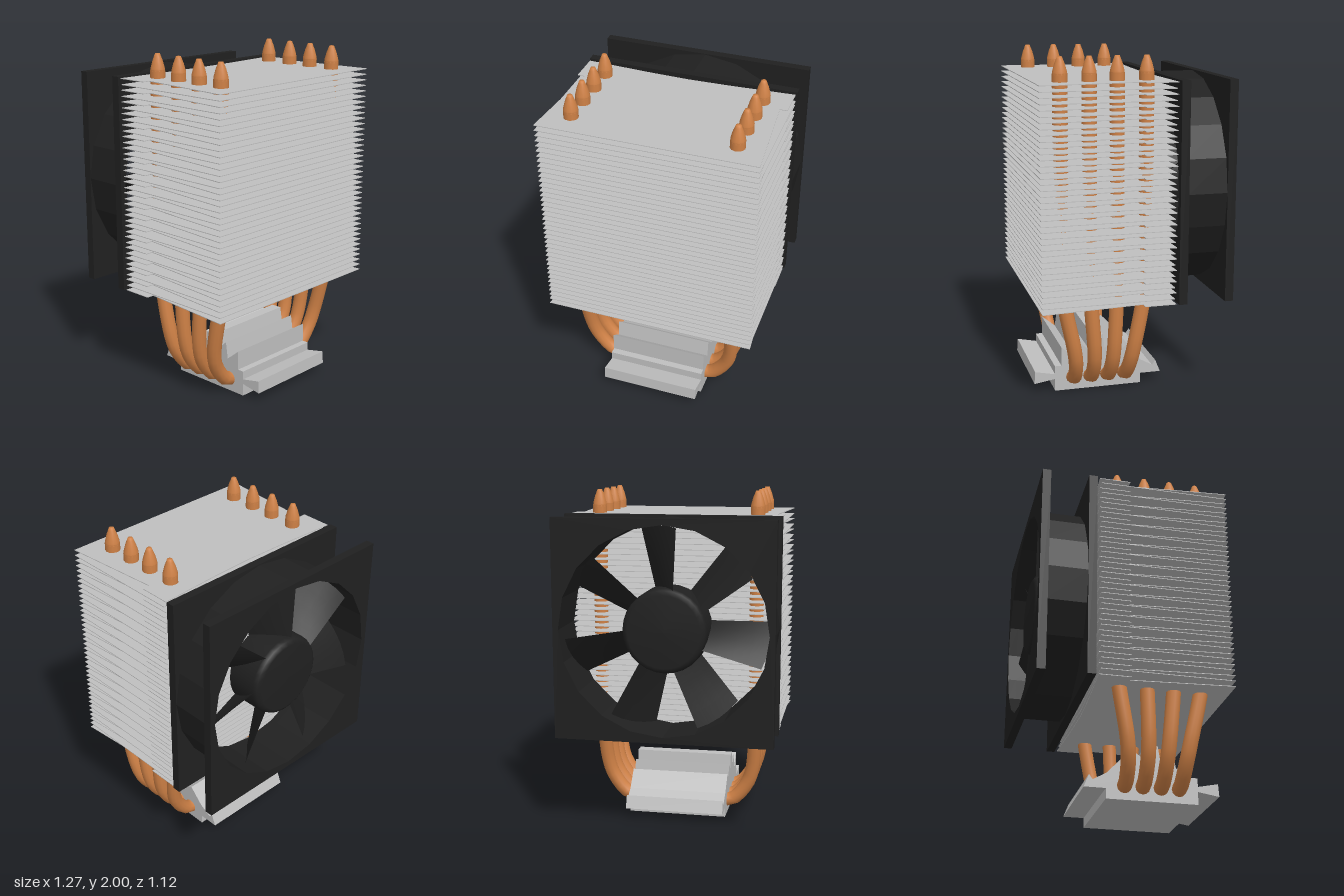
import * as THREE from 'three';

const aluminium = new THREE.MeshStandardMaterial({ color: 0xbfbfbf });
const copper = new THREE.MeshStandardMaterial({ color: 0xcf8146 });
const black = new THREE.MeshStandardMaterial({ color: 0x202020 });
const blackBlade = new THREE.MeshStandardMaterial({ color: 0x202020, side: THREE.DoubleSide });
aluminium.name = 'aluminium';
copper.name = 'copper';
black.name = 'black plastic';
blackBlade.name = 'black blade plastic';

function add(parent, name, geometry, material) {
  const mesh = new THREE.Mesh(geometry, material);
  mesh.name = name;
  parent.add(mesh);
  return mesh;
}

const outline = (pts) => new THREE.Shape(pts.map(([x, y]) => new THREE.Vector2(x, y)));
const extrude = (shape, depth, curveSegments = 12) =>
  new THREE.ExtrudeGeometry(shape, { depth, bevelEnabled: false, curveSegments });

// Thin plate outline in x and z, optionally with tapered, notched sides
function finGeometry(notched) {
  const side = notched
    ? [[0.63, -0.22], [0.63, -0.035], [0.585, -0.035], [0.635, 0.56]]
    : [[0.635, -0.21], [0.635, 0.56]];
  const back = [[0, -0.193], [0.25, -0.2]];
  const right = [...back, ...side];
  const left = right.slice(1).reverse().map(([x, z]) => [-x, z]);
  return extrude(outline([...right, ...left]), 0.004).rotateX(Math.PI / 2);
}

function buildFins() {
  const fins = new THREE.Group();
  fins.name = 'finStack';
  const plates = [finGeometry(true), finGeometry(false)];
  const count = 39;
  for (let i = 0; i < count; i++) {
    add(fins, 'fin', plates[i % 2], aluminium).position.y = 0.594 + (i * 1.268) / (count - 1);
  }
  return fins;
}

// Ridged contact block, with a profile in z and y
function buildBase() {
  const profile = [
    [0.425, 0], [0.425, 0.075], [0.55, 0.055], [0.545, 0.13], [0.425, 0.105], [0.425, 0.155],
    [0.385, 0.155], [0.385, 0.27], [0.3, 0.2], [0.285, 0.3], [0.21, 0.235], [0.195, 0.33],
    [0.13, 0.33], [0.12, 0.24], [0.05, 0.29], [0.04, 0.21], [-0.01, 0.245], [-0.1, 0.15],
    [-0.18, 0.105], [-0.2, 0.135], [-0.23, 0.06], [-0.105, 0.06], [-0.105, 0],
  ];
  const geometry = extrude(outline(profile), 0.6).translate(0, 0, -0.3).rotateY(-Math.PI / 2);
  const group = new THREE.Group();
  group.name = 'base';
  add(group, 'contactBlock', geometry, aluminium);
  return group;
}

// Bent pipes, spreading in z as they rise, with crimped tips
function buildPipes() {
  const pipes = new THREE.Group();
  pipes.name = 'heatPipes';
  const path = [
    [0.25, 0.082, 0], [0.33, 0.087, 0], [0.42, 0.19, 0.08], [0.457, 0.3, 0.25],
    [0.475, 0.67, 0.98], [0.475, 0.9, 1], [0.475, 1.4, 1], [0.475, 1.91, 1],
  ];
  const tip = new THREE.LatheGeometry(
    [[0.043, 0], [0.041, 0.02], [0.03, 0.06], [0.02, 0.085], [0.014, 0.1], [0, 0.1]]
      .map(([r, y]) => new THREE.Vector2(r, y)), 12);
  const bottomZ = [0.315, 0.21, 0.105, 0];
  const topZ = [0.415, 0.25, 0.09, -0.08];
  for (const side of [-1, 1]) {
    for (let i = 0; i < 4; i++) {
      const curve = new THREE.CatmullRomCurve3(path.map(([x, y, t]) =>
        new THREE.Vector3(side * x, y, bottomZ[i] + t * (topZ[i] - bottomZ[i]))));
      add(pipes, 'pipe', new THREE.TubeGeometry(curve, 40, 0.043, 12), copper);
      add(pipes, 'pipeTip', tip, copper).position.set(side * 0.475, 1.9, topZ[i]);
    }
  }
  return pipes;
}

// Pitched blade pointing up from the hub, widening to the tip
function bladeGeometry() {
  const geometry = new THREE.PlaneGeometry(1, 1, 4, 4);
  const p = geometry.attributes.position;
  for (let i = 0; i < p.count; i++) {
    const u = p.getX(i), v = p.getY(i) + 0.5;
    const width = 0.14 + 0.1 * v;
    p.setXYZ(i, u * width, 0.22 + 0.375 * v - 0.08 * u * u * v, u * 0.2 + 0.05 * u * u);
  }
  geometry.computeVertexNormals();
  return geometry;
}

function buildFan() {
  const fan = new THREE.Group();
  fan.name = 'fan';
  fan.position.y = 1.228;

  // Square flanges with a round opening
  const flange = outline([[-0.637, -0.64], [0.637, -0.64], [0.637, 0.64], [-0.637, 0.64]]);
  flange.holes.push(new THREE.Path().absarc(0, 0, 0.605, 0, Math.PI * 2, true));
  const flangeGeometry = extrude(flange, 0.05, 10);
  add(fan, 'frontFlange', flangeGeometry, black).position.z = -0.285;
  add(fan, 'backFlange', flangeGeometry, black).position.z = -0.563;

  // Duct joining the flanges
  const ring = new THREE.Shape().absarc(0, 0, 0.635, 0, Math.PI * 2, false);
  ring.holes.push(new THREE.Path().absarc(0, 0, 0.605, 0, Math.PI * 2, true));
  add(fan, 'duct', extrude(ring, 0.24, 10), black).position.z = -0.52;

  // Rounded hub, domed toward the back
  const hub = new THREE.LatheGeometry(
    [[0, 0], [0.235, 0], [0.245, 0.01], [0.245, 0.19], [0.235, 0.215], [0.21, 0.23], [0, 0.235]]
      .map(([r, y]) => new THREE.Vector2(r, y)), 28).rotateX(-Math.PI / 2);
  add(fan, 'hub', hub, black).position.z = -0.295;

  // Seven blades
  const blade = bladeGeometry();
  for (let i = 0; i < 7; i++) {
    const mesh = add(fan, 'blade', blade, blackBlade);
    mesh.rotation.z = -0.09 + (i * Math.PI * 2) / 7;
    mesh.position.z = -0.41;
  }
  return fan;
}

export function createModel() {
  const model = new THREE.Group();
  model.name = 'towerCooler';
  model.add(buildBase(), buildPipes(), buildFins(), buildFan());
  return model;
}
